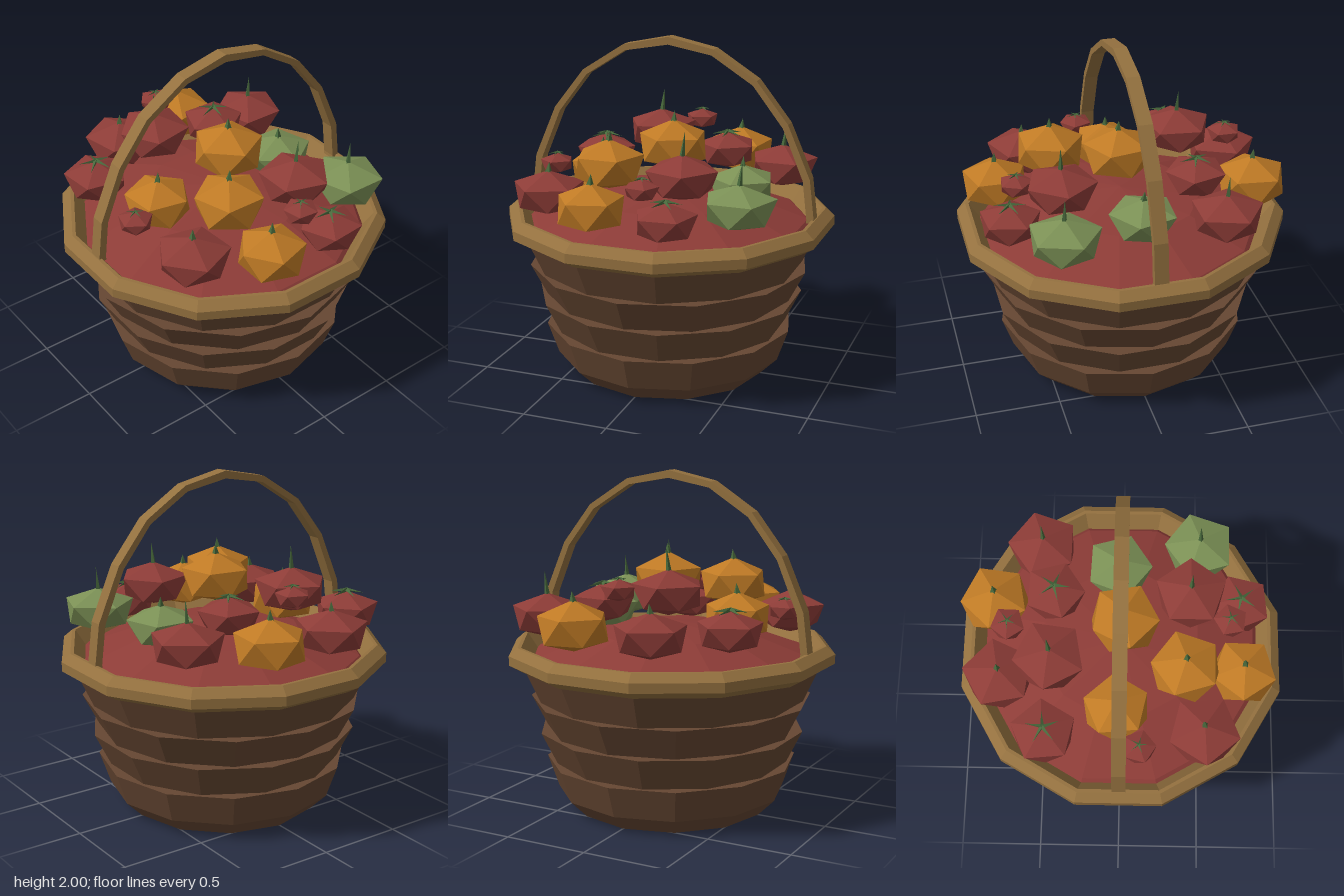
import * as THREE from 'three';

const mat = (name, color, opts = {}) => Object.assign(
  new THREE.MeshStandardMaterial({ color, flatShading: true, ...opts }), { name });

const APOTHEM = Math.cos(Math.PI / 12);

export function createModel() {
  const wood = mat('basketBrown', 0x664732);
  const rimWood = mat('rimTan', 0x94713f);
  const red = mat('tomatoRed', 0x8d3c37);
  const orange = mat('tomatoOrange', 0xbf7a25);
  const green = mat('tomatoGreen', 0x7b9055);
  const leaf = mat('leafGreen', 0x48693c, { side: THREE.DoubleSide });

  const model = new THREE.Group();
  model.name = 'tomatoBasket';
  const add = (parent, name, geo, material) => {
    const mesh = new THREE.Mesh(geo, material);
    mesh.name = name;
    parent.add(mesh);
    return mesh;
  };
  // twelve-sided lathe; flat = facets face the axes, and radii are measured to facets
  const ring = (pts, flat) => {
    const k = flat ? 1 / APOTHEM : 1;
    return new THREE.LatheGeometry(pts.map(([r, y]) => new THREE.Vector2(r * k, y)), 12,
      flat ? Math.PI / 12 : 0);
  };

  // Woven body: four flared bands, alternately turned by half a facet
  const bands = [
    [[0, 0], [0.58, 0], [0.68, 0.1], [0.745, 0.29], [0.6, 0.29]],
    [[0.6, 0.27], [0.675, 0.29], [0.765, 0.48], [0.62, 0.48]],
    [[0.65, 0.46], [0.74, 0.48], [0.835, 0.665], [0.7, 0.665]],
    [[0.7, 0.64], [0.765, 0.665], [0.855, 0.87], [0.78, 0.88]],
  ];
  bands.forEach((p, i) => add(model, 'basketBand' + (i + 1), ring(p, i % 2 === 1), wood));

  // Rim with sloping inner wall
  add(model, 'rim', ring([[0.78, 0.855], [0.865, 0.855], [0.94, 0.9], [0.94, 0.955],
    [0.89, 1], [0.87, 1], [0.79, 0.88]], true), rimWood);

  // Mounded filling
  add(model, 'filling', ring([[0.82, 0.9], [0.79, 0.93], [0.45, 1.06], [0, 1.12]], true), red);

  // Handle: faceted arch of constant depth
  const outer = [[0.885, 0.98], [0.885, 1], [0.855, 1.235], [0.72, 1.543], [0.532, 1.78], [0.275, 1.943]];
  const inner = [[0.84, 0.98], [0.842, 1], [0.814, 1.225], [0.69, 1.52], [0.51, 1.752], [0.263, 1.908]];
  const flip = (pts) => pts.map(([x, y]) => [-x, y]).reverse();
  const arch = [...outer, [0, 2], ...flip(outer), ...inner.map(([x, y]) => [-x, y]), [0, 1.955],
    ...[...inner].reverse()];
  const handle = new THREE.ExtrudeGeometry(
    new THREE.Shape(arch.map(([x, y]) => new THREE.Vector2(x, y))),
    { depth: 0.08, bevelEnabled: false });
  handle.translate(0, 0, -0.04);
  add(model, 'handle', handle, rimWood);

  // Squashed fruit: vertex-up icosahedron with a narrower underside
  const fruitGeometry = (r, lower, height) => {
    const g = new THREE.IcosahedronGeometry(1, 0).rotateZ(-Math.atan(2 / (1 + Math.sqrt(5))));
    const p = g.attributes.position;
    for (let i = 0; i < p.count; i++) {
      const y = p.getY(i), k = (r / 0.894) * (y < 0 ? lower : 1);
      p.setXYZ(i, p.getX(i) * k, y * r * height * (y < -0.9 ? 0.8 : 1), p.getZ(i) * k);
    }
    g.computeVertexNormals();
    return g;
  };

  // x, centre y, z, radius, colour, top (stem | star | nub), yaw
  const fruits = [
    [-0.25, 1.15, -0.70, 0.21, red, 'nub', 0.2],
    [-0.20, 1.34, -0.40, 0.21, red, 'stem', 0.5],
    [-0.59, 1.16, -0.43, 0.19, red, 'star', 0.1],
    [0.23, 1.25, -0.39, 0.18, red, 'star', 0.9],
    [0.56, 1.16, -0.47, 0.21, red, 'stem', 0.3],
    [-0.56, 1.13, 0.48, 0.21, red, 'nub', 0.7],
    [0.22, 1.27, 0.40, 0.21, red, 'stem', 0.0],
    [0.23, 1.10, 0.70, 0.18, red, 'star', 0.4],
    [-0.02, 1.38, -0.64, 0.10, red, 'star', 0.6],
    [0.07, 1.25, 0.63, 0.10, red, 'star', 0.2],
    [-0.68, 1.21, 0.11, 0.10, red, 'star', 1.0],
    [0.57, 1.15, 0.46, 0.21, green, 'stem', 0.3],
    [0.44, 1.14, -0.02, 0.20, green, 'nub', 0.9],
    [0.21, 1.17, -0.74, 0.20, orange, 'nub', 0.5],
    [-0.44, 1.17, -0.02, 0.19, orange, 'nub', 0.1],
    [0.03, 1.36, 0.02, 0.20, orange, 'nub', 0.8],
    [-0.23, 1.30, 0.37, 0.20, orange, 'nub', 0.3],
    [-0.20, 1.14, 0.71, 0.19, orange, 'nub', 0.6],
  ];
  const names = new Map([[red, 'redTomato'], [orange, 'orangeTomato'], [green, 'greenTomato']]);
  for (const [x, y, z, r, color, top, yaw] of fruits) {
    const fruit = new THREE.Group();
    fruit.name = names.get(color);
    fruit.position.set(x, y, z);
    fruit.rotation.y = yaw;
    const height = color === orange ? 0.8 : 0.68;
    add(fruit, 'flesh', fruitGeometry(r, color === orange ? 0.95 : 0.82, height), color);
    const crown = r * height;
    if (top === 'star') {
      // Five thin sepals lying on the upper facets
      for (let i = 0; i < 5; i++) {
        const sepal = new THREE.ConeGeometry(r * 0.07, r * 0.55, 3);
        sepal.translate(0, r * 0.27, 0).rotateZ(-Math.PI / 2 - 0.2);
        sepal.rotateY(i * Math.PI * 0.4).translate(0, crown + 0.006, 0);
        add(fruit, 'sepal', sepal, leaf);
      }
    } else {
      const h = top === 'stem' ? 0.15 : 0.07;
      const stem = new THREE.ConeGeometry(top === 'stem' ? 0.017 : 0.024, h, 4);
      stem.translate(0, h / 2, 0).rotateZ(-0.1).translate(0, crown - 0.02, 0);
      add(fruit, 'stem', stem, leaf);
    }
    model.add(fruit);
  }
  return model;
}
